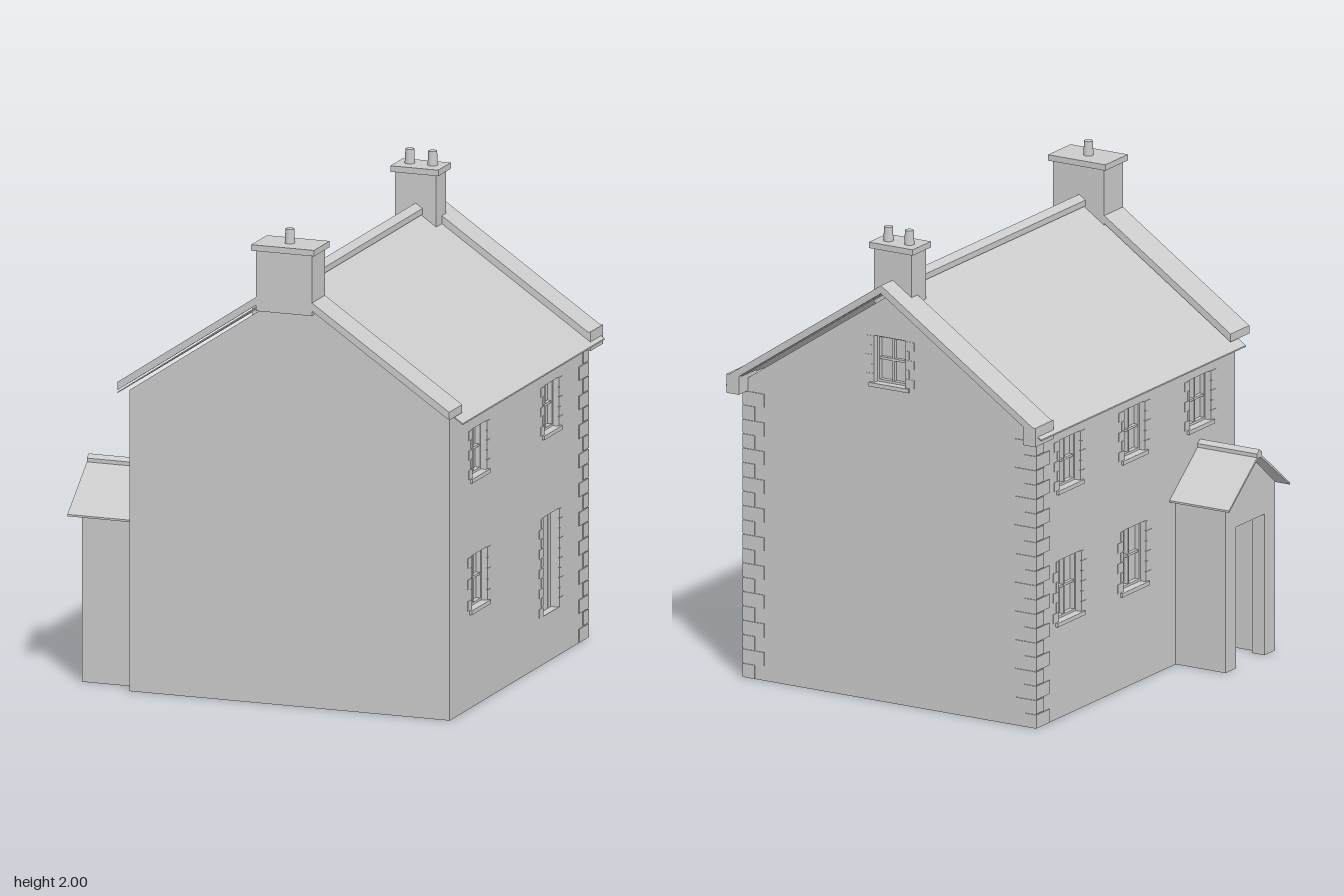
import * as THREE from 'three';

const stone = new THREE.MeshStandardMaterial({ color: 0xcccccc, side: THREE.DoubleSide });
stone.name = 'pale grey stone';

const X0 = -0.59, X1 = 0.81, Z0 = -0.78, Z1 = 0.76; // wall footprint
const RIDGE = 0.11, SLOPE = 0.675;                   // ridge x and roof pitch

function add(parent, name, geometry) {
  const mesh = new THREE.Mesh(geometry, stone);
  mesh.name = name;
  parent.add(mesh);
  return mesh;
}

// box given by its minimum and maximum on each axis
function box(parent, name, x0, x1, y0, y1, z0, z1) {
  const mesh = add(parent, name, new THREE.BoxGeometry(x1 - x0, y1 - y0, z1 - z0));
  mesh.position.set((x0 + x1) / 2, (y0 + y1) / 2, (z0 + z1) / 2);
  return mesh;
}

const poly = (points) => new THREE.Shape(points.map(([x, y]) => new THREE.Vector2(x, y)));
const rect = (u0, u1, v0, v1) => poly([[u0, v0], [u1, v0], [u1, v1], [u0, v1]]);

// extrude a shape (with holes) from z0 to z1
function slab(parent, name, shape, z0, z1, holes = []) {
  shape.holes = holes;
  const g = new THREE.ExtrudeGeometry(shape, { depth: z1 - z0, bevelEnabled: false });
  g.translate(0, 0, z0);
  return add(parent, name, g);
}

// alternating long and short stones up one side of an opening
function jamb(parent, u, side, v0, v1) {
  const n = Math.round((v1 - v0) / 0.042), h = (v1 - v0) / n;
  for (let i = 0; i < n; i++) {
    const end = u + side * (i % 2 ? 0.018 : 0.042);
    box(parent, 'jambStone', Math.min(u, end), Math.max(u, end), v0 + i * h + 0.002, v0 + (i + 1) * h - 0.002, -0.01, 0.002);
  }
}

// deep stone lining around an opening
function lining(parent, u0, u1, v0, v1) {
  slab(parent, 'lining', rect(u0 - 0.02, u1 + 0.02, v0 - 0.02, v1 + 0.02), -0.075, -0.002, [rect(u0, u1, v0, v1)]);
  jamb(parent, u0, -1, v0, v1);
  jamb(parent, u1, 1, v0, v1);
}

// four-pane window with sill
function windowUnit(parent, { u0, u1, v0, v1 }) {
  const g = new THREE.Group();
  g.name = 'window';
  parent.add(g);
  lining(g, u0, u1, v0, v1);
  box(g, 'pane', u0, u1, v0, v1, -0.05, -0.045);
  const f = 0.01, u = (u0 + u1) / 2, v = (v0 + v1) / 2;
  slab(g, 'frame', rect(u0, u1, v0, v1), -0.045, -0.025, [rect(u0 + f, u1 - f, v0 + f, v1 - f)]);
  box(g, 'uprightBar', u - 0.005, u + 0.005, v0, v1, -0.045, -0.027);
  box(g, 'crossBar', u0, u1, v - 0.005, v + 0.005, -0.045, -0.029);
  box(g, 'sill', u0 - 0.02, u1 + 0.02, v0 - 0.017, v0, -0.045, 0.01);
}

// plank door
function doorUnit(parent, { u0, u1, v0, v1 }) {
  const g = new THREE.Group();
  g.name = 'door';
  parent.add(g);
  lining(g, u0, u1, v0, v1);
  const n = 5, w = (u1 - u0) / n;
  box(g, 'doorBacking', u0, u1, v0, v1, -0.06, -0.05);
  for (let i = 0; i < n; i++) box(g, 'plank', u0 + i * w + 0.002, u0 + (i + 1) * w - 0.002, v0, v1, -0.05, -0.035);
}

// thin wall in its own plane, outside facing local +z
function wall(parent, name, outline, angle, x, z, windows, doors = []) {
  const g = new THREE.Group();
  g.name = name;
  g.rotation.y = angle;
  g.position.set(x, 0, z);
  const shape = poly(outline);
  shape.holes = [...windows, ...doors].map((o) => rect(o.u0, o.u1, o.v0, o.v1));
  add(g, name + 'Face', new THREE.ShapeGeometry(shape));
  windows.forEach((o) => windowUnit(g, o));
  doors.forEach((o) => doorUnit(g, o));
  parent.add(g);
  return g;
}
const opening = (c, w, v0, v1) => ({ u0: c - w / 2, u1: c + w / 2, v0, v1 });

// chimney stack with cap and pots
function chimney(parent, name, x0, x1, y0, z0, z1, pots, lip) {
  const g = new THREE.Group();
  g.name = name;
  parent.add(g);
  box(g, 'stack', x0, x1, y0, 1.915, z0, z1);
  box(g, 'cap', x0 - lip, x1 + lip, 1.915, 1.94, z0 - lip, z1 + lip);
  pots.forEach(([x, z]) => add(g, 'pot', new THREE.CylinderGeometry(0.018, 0.021, 0.06, 16)).position.set(x, 1.97, z));
}

// sloping band over both sides of the roof, as an inverted V
function chevron(x0, x1, apex, thick) {
  const low = (x) => apex - Math.abs(x - RIDGE) * SLOPE;
  return poly([[x0, low(x0)], [RIDGE, apex], [x1, low(x1)], [x1, low(x1) + thick], [RIDGE, apex + thick], [x0, low(x0) + thick]]);
}

function createPorch() {
  const g = new THREE.Group();
  g.name = 'porch';
  g.rotation.y = -Math.PI / 2; // local x runs along world z, local z points to -x
  const c = 0.49, w = 0.19, out = 0.83, back = 0.59;
  // gabled front with doorway
  slab(g, 'porchFront', poly([[c - w, 0], [c - 0.11, 0], [c - 0.11, 0.6], [c + 0.11, 0.6], [c + 0.11, 0],
    [c + w, 0], [c + w, 0.72], [c, 0.875], [c - w, 0.72]]), out - 0.06, out);
  for (const s of [-1, 1]) {
    const a = c + s * w, b = c + s * (w - 0.05);
    box(g, 'porchSide', Math.min(a, b), Math.max(a, b), 0, 0.72, back, out - 0.06);
  }
  // roof and ridge cap
  slab(g, 'porchRoof', poly([[c - 0.237, 0.7], [c, 0.882], [c + 0.237, 0.7], [c + 0.237, 0.708], [c, 0.895], [c - 0.237, 0.708]]), back, 0.875);
  slab(g, 'porchRidge', poly([[c - 0.02, 0.875], [c + 0.02, 0.875], [c + 0.02, 0.895], [c, 0.91], [c - 0.02, 0.895]]), back, 0.875);
  return g;
}

export function createModel() {
  const house = new THREE.Group();
  house.name = 'house';

  // walls, open underneath
  const eave = 1.262, peak = 1.733;
  const gable = (s) => [[s * X0, 0], [s * X1, 0], [s * X1, eave], [s * RIDGE, peak], [s * X0, eave]];
  wall(house, 'frontWall', gable(1), 0, 0, Z1, []);
  wall(house, 'backWall', gable(-1), Math.PI, 0, Z0, [opening(-RIDGE, 0.15, 1.35, 1.55)]);
  wall(house, 'leftWall', [[-Z1, 0], [-Z0, 0], [-Z0, eave], [-Z1, eave]], Math.PI / 2, X1, 0,
    [opening(-0.43, 0.16, 0.96, 1.165), opening(0.375, 0.16, 0.96, 1.165), opening(-0.43, 0.175, 0.41, 0.635)],
    [opening(0.37, 0.18, 0.2, 0.615)]);
  wall(house, 'rightWall', [[Z0, 0], [Z1, 0], [Z1, eave], [Z0, eave]], -Math.PI / 2, X0, 0,
    [-0.52, -0.02, 0.49].map((c) => opening(c, 0.16, 0.97, 1.18))
      .concat([-0.52, -0.02].map((c) => opening(c, 0.175, 0.41, 0.67))),
    [opening(0.49, 0.18, 0.2, 0.6)]);

  // corner stones at the two rear corners
  const rows = 20, h = 1.22 / rows;
  for (let i = 0; i < rows; i++) {
    const a = i % 2 ? 0.1 : 0.055, b = i % 2 ? 0.055 : 0.1, y0 = i * h + 0.002, y1 = (i + 1) * h - 0.002;
    box(house, 'cornerStone', X0 - 0.004, X0 + a, y0, y1, Z0 - 0.004, Z0 + b);
    box(house, 'cornerStone', X1 - a, X1 + 0.004, y0, y1, Z0 - 0.004, Z0 + b);
  }

  // roof, ridge and gable copings
  slab(house, 'roof', chevron(-0.645, 0.865, 1.752, 0.006), -0.83, 0.755);
  slab(house, 'ridge', chevron(RIDGE - 0.03, RIDGE + 0.03, 1.765, 0.025), -0.72, 0.69);
  slab(house, 'frontCoping', chevron(-0.615, 0.835, 1.765, 0.034), 0.685, 0.83);
  slab(house, 'backCoping', chevron(-0.625, 0.845, 1.757, 0.034), -0.85, -0.71);
  box(house, 'rightKneeler', -0.63, -0.57, 1.22, 1.3, -0.85, -0.71);
  box(house, 'leftKneeler', 0.79, 0.85, 1.22, 1.3, -0.85, -0.71);

  chimney(house, 'frontChimney', -0.01, 0.235, 1.66, 0.685, 0.83, [[0.11, 0.757]], 0.015);
  chimney(house, 'backChimney', 0.02, 0.2, 1.68, -0.758, -0.647, [[0.06, -0.71], [0.16, -0.71]], 0.015);

  house.add(createPorch());
  return house;
}
